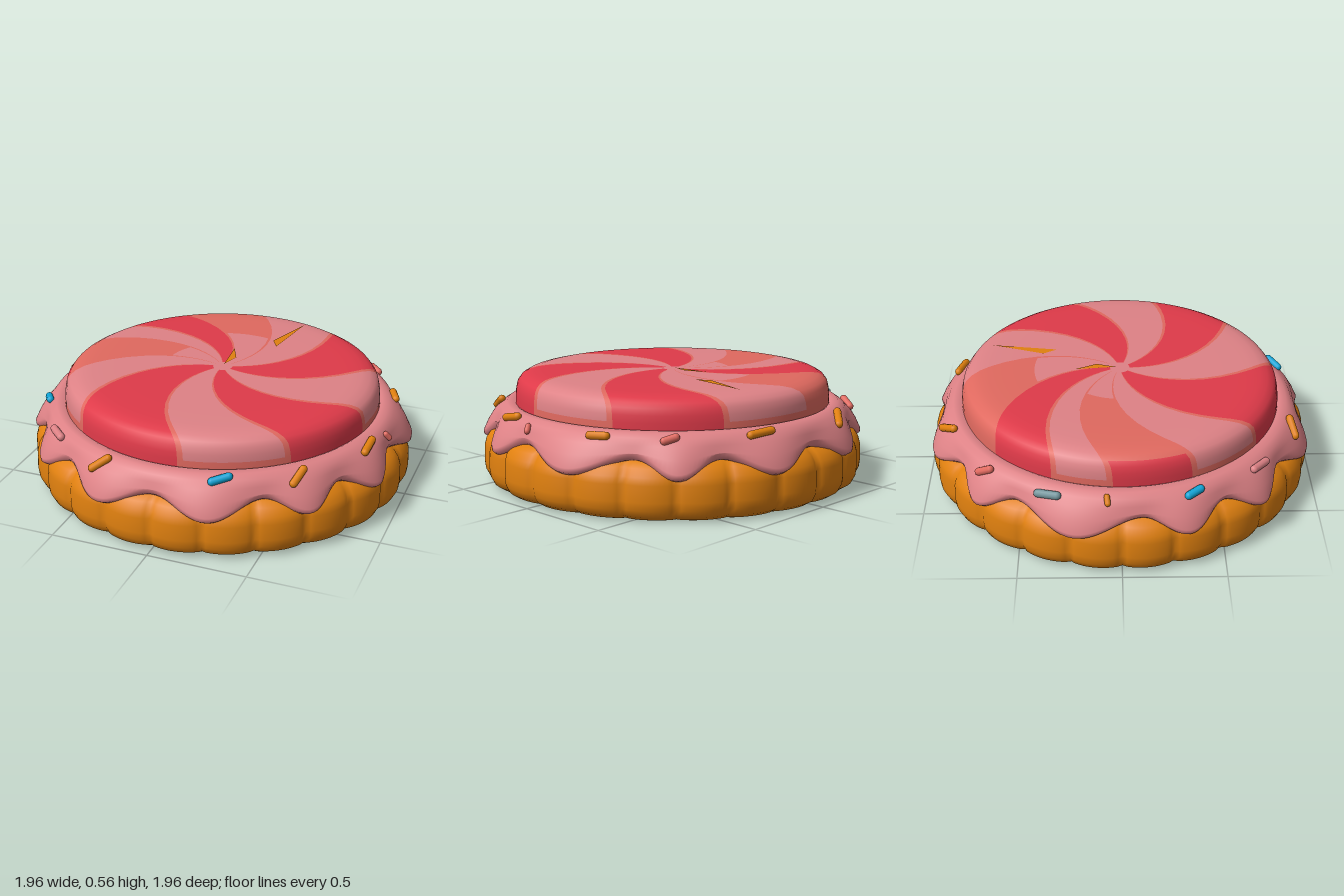
import * as THREE from 'three';

const mat = (name, hex) => new THREE.MeshStandardMaterial({ name, color: hex });
const RAD = Math.PI / 180;

// Closed surface of revolution with a rule: point(theta, j) gives [radius, y, twist];
// profiles run from the inside top outwards and down. pick(i, j) chooses the material slot.
function ringSurface(angles, rows, point, pick = () => 0) {
  const n = angles.length, pos = [], buckets = [];
  for (const th of angles) {
    for (let j = 0; j < rows; j++) {
      const [r, y, twist = 0] = point(th, j);
      pos.push(r * Math.cos(th + twist), y, r * Math.sin(th + twist));
    }
  }
  for (let i = 0; i < n; i++) {
    for (let j = 0; j < rows - 1; j++) {
      const a = i * rows + j, b = ((i + 1) % n) * rows + j;
      const list = (buckets[pick(i, j)] ??= []);
      list.push(a, b, b + 1, a, b + 1, a + 1);
    }
  }
  const geo = new THREE.BufferGeometry();
  geo.setAttribute('position', new THREE.Float32BufferAttribute(pos, 3));
  const index = [];
  buckets.forEach((list, slot) => {
    geo.addGroup(index.length, list.length, slot);
    for (const v of list) index.push(v);
  });
  geo.setIndex(index);
  geo.computeVertexNormals();
  return geo;
}

const evenAngles = n => Array.from({ length: n }, (_, i) => (i / n) * Math.PI * 2);

// Angles (degrees) where the icing pulls back and shows the biscuit
const GAPS = [6, 32, 57, 90, 123, 148, 174, 213, 238, 270, 302, 327, 366];

function dripAmount(theta) {
  let deg = theta / RAD;
  if (deg < GAPS[0]) deg += 360;
  const k = GAPS.findIndex((g, i) => deg >= g && deg < GAPS[i + 1]);
  const f = (deg - GAPS[k]) / (GAPS[k + 1] - GAPS[k]);
  return Math.sin(Math.PI * f) ** 2;
}

// Icing profile for a drip amount d between 0 (gap) and 1 (full drip)
function icingProfile(d) {
  const low = 0.28 - 0.08 * d;
  return [
    [0.79, 0.385], [0.83, 0.405], [0.865, 0.402], [0.895, 0.382],
    [0.912 + 0.02 * d, 0.35], [0.922 + 0.045 * d, 0.315 - 0.02 * d],
    [0.925 + 0.07 * d, low + 0.035], [0.918 + 0.075 * d, low + 0.012],
    [0.905 + 0.07 * d, low], [0.88, low + 0.01],
  ];
}

// Height of the icing surface at a point, for seating the sprinkles
function icingHeight(x, z) {
  const r = Math.hypot(x, z);
  const theta = (Math.atan2(z, x) + Math.PI * 2) % (Math.PI * 2);
  const p = icingProfile(dripAmount(theta));
  for (let j = 0; j < 6; j++) {
    const [r0, y0] = p[j], [r1, y1] = p[j + 1];
    if (r >= r0 && r <= r1) return y0 + ((y1 - y0) * (r - r0)) / (r1 - r0);
  }
  return r < 0.8 ? 0.39 : 0.32;
}

export function createModel() {
  const group = new THREE.Group();
  const biscuit = mat('biscuit orange', 0xe0800f);
  const pink = mat('icing pink', 0xde8286);
  const red = mat('candy red', 0xdf3a49);
  const coral = mat('candy coral', 0xe0695f);
  const blue = mat('sprinkle blue', 0x0fa4d6);
  const teal = mat('sprinkle teal', 0x73959c);

  const add = (name, geo, material) => {
    const mesh = new THREE.Mesh(geo, material);
    mesh.name = name;
    group.add(mesh);
    return mesh;
  };

  // Biscuit base with 24 scallops
  const baseProfile = [
    [0.6, 0.29], [0.86, 0.288], [0.91, 0.278], [0.95, 0.252], [0.975, 0.215], [0.985, 0.18],
    [0.988, 0.1], [0.983, 0.06], [0.965, 0.025], [0.935, 0.006], [0.92, 0.001], [0.91, 0], [0, 0],
  ];
  add('biscuitBase', ringSurface(evenAngles(288), baseProfile.length, (th, j) => {
    const [r, y] = baseProfile[j];
    const groove = 0.026 * (1 - Math.abs(Math.sin(12 * th)) ** 0.6);
    return [r > 0.9 ? r * (1 - groove) : r, y];
  }), biscuit);

  // Dripping icing
  add('icing', ringSurface(evenAngles(288), 10, (th, j) => icingProfile(dripAmount(th))[j]), pink);

  // Candy disc: swirling sectors [start degree at the rim, kind]
  const sectors = [
    [-23, 'pink'], [11, 'red'], [47, 'pink'], [83, 'red'], [127, 'pink'], [155, 'coralLeft'],
    [184, 'pink'], [203, 'red'], [229, 'coralBack'], [262, 'pink'], [298, 'red'], [337, 'pink'],
  ];
  const columns = [];
  for (let s = 0; s < sectors.length - 1; s++) {
    const start = sectors[s][0] + 1, end = sectors[s + 1][0] - 1;
    const steps = Math.ceil((end - start) / 3);
    columns.push([start - 2, 'edge']);
    for (let k = 0; k < steps; k++) columns.push([start + ((end - start) * k) / steps, sectors[s][1]]);
  }
  const discProfile = [
    [0, 0.556], [0.05, 0.556], [0.1, 0.556], [0.15, 0.556], [0.2, 0.556], [0.25, 0.556], [0.3, 0.556],
    [0.37, 0.556], [0.44, 0.556], [0.52, 0.556], [0.6, 0.556], [0.67, 0.555], [0.72, 0.552],
    [0.76, 0.543], [0.79, 0.526], [0.807, 0.503], [0.815, 0.47], [0.819, 0.435], [0.82, 0.38],
  ];
  const PINK = 0, RED = 1, CORAL = 2;
  const pickCandy = (i, j) => {
    const kind = columns[i][1], r = discProfile[j][0];
    if (r < 0.05) return PINK;
    if (kind === 'red') return RED;
    if (kind === 'edge') return CORAL;
    if (kind === 'coralLeft') return r >= 0.79 ? RED : r > 0.28 ? CORAL : PINK;
    if (kind === 'coralBack') return r >= 0.44 ? CORAL : PINK;
    return r >= 0.819 ? CORAL : PINK;
  };
  add('candyDisc', ringSurface(columns.map(c => c[0] * RAD), discProfile.length, (th, j) => {
    const [r, y] = discProfile[j];
    return [r, y, 48 * RAD * (1 - r / 0.82)];
  }, pickCandy), [pink, red, coral]);

  // Biscuit-coloured slivers on the candy top
  const slivers = new THREE.BufferGeometry();
  slivers.setAttribute('position', new THREE.Float32BufferAttribute([
    0.23, 0.56, -0.67, 0.14, 0.56, -0.4, 0.18, 0.56, -0.33,
    -0.02, 0.56, -0.23, 0, 0.56, -0.02, 0.03, 0.56, -0.12,
  ], 3));
  slivers.computeVertexNormals();
  add('topSlivers', slivers, biscuit);

  // Sprinkles: centre x, z, then direction and length along x, z
  const sprinkles = [
    [-0.28, -0.87, 0.11, -0.1, biscuit], [0.29, -0.85, 0.15, 0.04, biscuit],
    [-0.64, -0.66, 0.04, -0.1, coral], [0.66, -0.62, 0.08, 0.05, coral],
    [-0.84, -0.35, 0.05, -0.13, teal], [0.84, -0.33, 0.05, 0.11, biscuit],
    [-0.9, -0.07, 0.06, -0.01, biscuit], [0.91, 0.09, 0.05, -0.03, coral],
    [-0.84, 0.34, 0.06, 0.09, blue], [0.86, 0.27, -0.01, 0.14, biscuit],
    [-0.62, 0.67, 0.1, 0.09, pink], [0.63, 0.66, -0.04, 0.12, biscuit],
    [-0.29, 0.87, 0.13, -0.04, biscuit], [0.31, 0.84, 0.1, -0.07, blue],
  ];
  const up = new THREE.Vector3(0, 1, 0);
  for (const [x, z, dx, dz, material] of sprinkles) {
    const len = Math.hypot(dx, dz), rad = len < 0.08 ? 0.015 : 0.02;
    const a = new THREE.Vector3(x - dx / 2, icingHeight(x - dx / 2, z - dz / 2), z - dz / 2);
    const b = new THREE.Vector3(x + dx / 2, icingHeight(x + dx / 2, z + dz / 2), z + dz / 2);
    const mesh = add('sprinkle', new THREE.CapsuleGeometry(rad, len - 2 * rad, 4, 10), material);
    mesh.quaternion.setFromUnitVectors(up, b.clone().sub(a).normalize());
    mesh.position.set(x, Math.max(icingHeight(x, z), (a.y + b.y) / 2) + 0.01, z);
  }
  return group;
}
